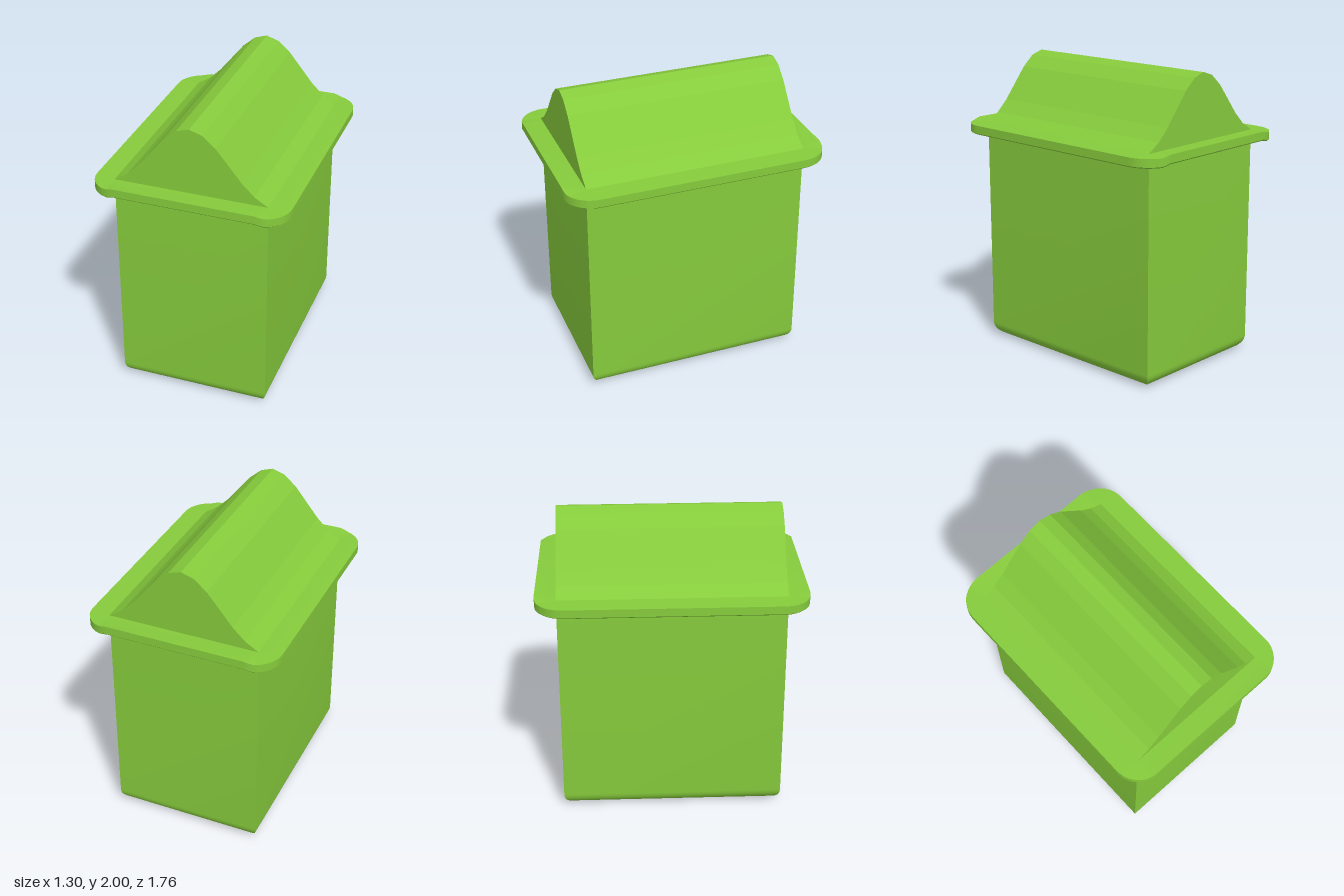
import * as THREE from 'three';
import { toCreasedNormals } from 'three/addons/utils/BufferGeometryUtils.js';

const W = 0.51, D = 0.74; // half width and depth of the bin body
const clamp = THREE.MathUtils.clamp;

// Skin a stack of rings (arrays of Vector3, running from +x towards +z), listed from bottom to top.
function loft(rings, crease) {
  const pos = [];
  const tri = new THREE.Triangle();
  const add = (a, b, c) => {
    if (tri.set(a, b, c).getArea() > 1e-7) for (const p of [a, b, c]) pos.push(p.x, p.y, p.z);
  };
  for (let i = 0; i < rings.length - 1; i++) {
    const lo = rings[i], hi = rings[i + 1], n = lo.length;
    for (let j = 0; j < n; j++) {
      const k = (j + 1) % n;
      add(lo[j], hi[j], lo[k]);
      add(lo[k], hi[j], hi[k]);
    }
  }
  const g = new THREE.BufferGeometry();
  g.setAttribute('position', new THREE.Float32BufferAttribute(pos, 3));
  return toCreasedNormals(g, crease);
}

// Square-cornered body with a rounded underside
function bodyGeometry() {
  const ring = (inset, y) => [[1, -1], [1, 1], [-1, 1], [-1, -1]].map(
    ([sx, sz]) => new THREE.Vector3(sx * (W - inset), y, sz * (D - inset)));
  const centre = y => Array.from({ length: 4 }, () => new THREE.Vector3(0, y, 0));
  const rings = [centre(0)], r = 0.095, steps = 10;
  for (let i = 0; i <= steps; i++) {
    const a = (i / steps) * Math.PI / 2;
    rings.push(ring(r * (1 - Math.sin(a)), r * (1 - Math.cos(a))));
  }
  rings.push(ring(0, 1.48), centre(1.48));
  return loft(rings, 0.6);
}

// Rounded rim whose front and back edges tilt up slightly
function rimGeometry() {
  const X = 0.65, Z = 0.88, R = 0.185, steps = 10;
  const outline = [];
  [[1, 1], [-1, 1], [-1, -1], [1, -1]].forEach(([sx, sz], q) => {
    for (let i = 0; i <= steps; i++) {
      const a = (q + i / steps) * Math.PI / 2;
      outline.push([sx * (X - R) + R * Math.cos(a), sz * (Z - R) + R * Math.sin(a)]);
    }
  });
  const lift = (x, z) => 0.015 * clamp((Math.abs(z) - D) / (Z - D), 0, 1) * clamp((0.53 - Math.abs(x)) / 0.06, 0, 1);
  const outer = (y, inset = 0) => outline.map(([x, z]) =>
    new THREE.Vector3(x * (1 - inset / X), y + lift(x, z), z * (1 - inset / Z)));
  const inner = y => outline.map(([x, z]) => new THREE.Vector3(clamp(x, -W, W), y, clamp(z, -D, D)));
  const centre = y => outline.map(() => new THREE.Vector3(0, y, 0));
  return loft([centre(1.49), inner(1.49), outer(1.49, 0.008), outer(1.498),
    outer(1.552), inner(1.556), centre(1.556)], 0.5);
}

// Bell-shaped ridge running front to back
function ridgeGeometry() {
  const half = [[0.51, 1.556], [0.42, 1.612], [0.34, 1.69], [0.255, 1.795], [0.17, 1.9], [0.085, 1.973]];
  const profile = [[W, 1.54], ...half, [0, 2], ...half.map(([x, y]) => [-x, y]).reverse(), [-W, 1.54]];
  const shape = new THREE.Shape(profile.map(([x, y]) => new THREE.Vector2(x, y)));
  return new THREE.ExtrudeGeometry(shape, { depth: 2 * D, bevelEnabled: false }).translate(0, 0, -D);
}

export function createModel() {
  const group = new THREE.Group();
  group.name = 'bin';
  const green = new THREE.MeshStandardMaterial({ color: 0x86cb3c });
  const lid = new THREE.Group();
  lid.name = 'lid';
  const part = (name, geometry, parent) => {
    const mesh = new THREE.Mesh(geometry, green);
    mesh.name = name;
    parent.add(mesh);
  };
  part('body', bodyGeometry(), group);
  part('lidRim', rimGeometry(), lid);
  part('lidRidge', ridgeGeometry(), lid);
  group.add(lid);
  return group;
}
